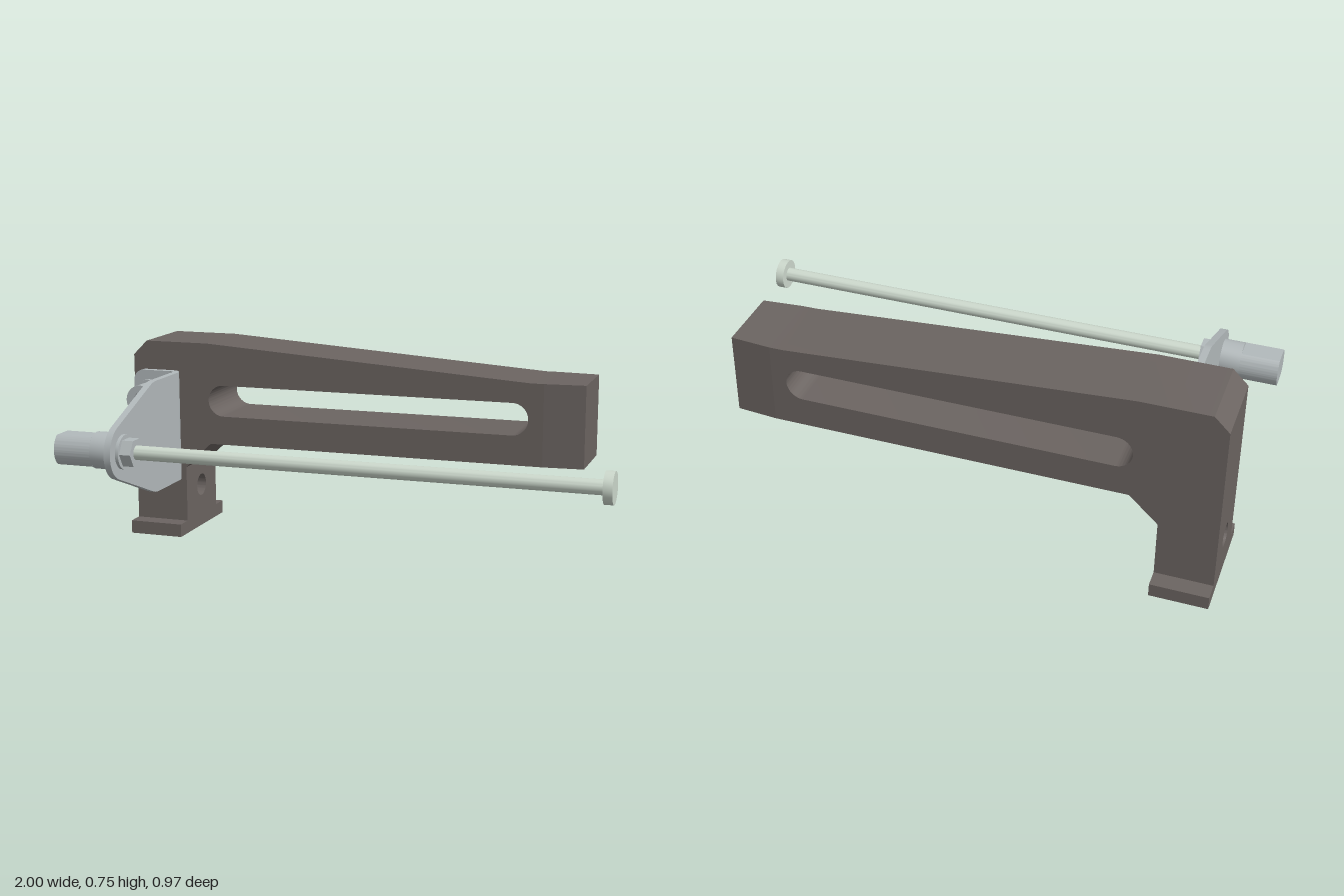
import * as THREE from 'three';
import { toCreasedNormals } from 'three/addons/utils/BufferGeometryUtils.js';

const paint = (color) => new THREE.MeshStandardMaterial({ color });

const polygon = (points) => new THREE.Shape(points.map(([x, y]) => new THREE.Vector2(x, y)));

const extrude = (shape, depth, curveSegments = 24) =>
  new THREE.ExtrudeGeometry(shape, { depth, bevelEnabled: false, curveSegments });

// Shape drawn in (-z, y), swept along x from x0 to x1
const alongX = (shape, x0, x1, segments) =>
  extrude(shape, x1 - x0, segments).rotateY(Math.PI / 2).translate(x0, 0, 0);

// Shape drawn in (x, y), swept along z from z0 to z1
const alongZ = (shape, z0, z1, segments) => extrude(shape, z1 - z0, segments).translate(0, 0, z0);

function hexagon(cx, cy, r, turn = 0) {
  return Array.from({ length: 6 }, (_, i) => {
    const a = turn + (i * Math.PI) / 3;
    return [cx + r * Math.cos(a), cy + r * Math.sin(a)];
  });
}

export function createModel() {
  const model = new THREE.Group();
  const dark = paint(0x6b6461);
  const steel = paint(0xb2b9bb);
  const pale = paint(0xccd8cc);

  function add(name, geometry, material, parent = model) {
    const mesh = new THREE.Mesh(toCreasedNormals(geometry, 0.5), material);
    mesh.name = name;
    parent.add(mesh);
    return mesh;
  }

  // Arm with long slot
  const arm = new THREE.Group();
  arm.name = 'arm';
  model.add(arm);
  const zBack = -0.42, zFront = -0.14, zMid = -0.28;
  const profile = polygon([
    [-0.965, 0.265], [-0.755, 0.265], [-0.65, 0.365], [0.65, 0.365], [0.65, 0.67],
    [0.6, 0.67], [-0.66, 0.755], [-0.91, 0.755], [-0.965, 0.7],
  ]);
  const slot = new THREE.Path();
  slot.absarc(-0.595, 0.535, 0.06, Math.PI / 2, Math.PI * 1.5, false);
  slot.absarc(0.535, 0.535, 0.06, -Math.PI / 2, Math.PI / 2, false);
  slot.closePath();
  profile.holes.push(slot);
  add('armBody', alongZ(profile, zBack, zFront), dark, arm);

  // Arm tip, narrowing slightly towards its end
  const tip = new THREE.BoxGeometry(0.15, 0.305, zFront - zBack);
  const p = tip.attributes.position;
  for (let i = 0; i < p.count; i++) if (p.getX(i) > 0) p.setZ(i, p.getZ(i) * 0.91);
  tip.translate(0.725, 0.5175, zMid);
  add('armTip', tip, dark, arm);

  // Column and flanged foot with a cross hole
  const column = polygon([
    [0.075, 0], [0.485, 0], [0.485, 0.05], [0.42, 0.05],
    [0.42, 0.265], [0.14, 0.265], [0.14, 0.05], [0.075, 0.05],
  ]);
  column.holes.push(new THREE.Path().absarc(-zMid, 0.165, 0.043, 0, Math.PI * 2, true));
  add('columnAndFoot', alongX(column, -0.965, -0.755), dark, arm);

  // Bent sheet bracket: flange, bend and side plate
  const bracket = new THREE.Group();
  bracket.name = 'bracket';
  model.add(bracket);
  const t = 0.025, bendR = 0.045, xOut = -0.76, yLow = 0.225, yHigh = 0.645;
  const xBend = xOut - bendR, zBend = zFront + bendR;

  const flange = new THREE.Shape();
  flange.moveTo(xBend, yLow);
  flange.lineTo(xBend, yHigh);
  flange.absarc(-0.915, yHigh - 0.04, 0.04, Math.PI / 2, Math.PI, false);
  flange.absarc(-0.915, yLow + 0.04, 0.04, Math.PI, Math.PI * 1.5, false);
  flange.closePath();
  add('bracketFlange', alongZ(flange, zFront, zFront + t, 8), steel, bracket);

  const bend = new THREE.Shape();
  bend.absarc(xBend, -zBend, bendR, 0, Math.PI / 2, false);
  bend.absarc(xBend, -zBend, bendR - t, Math.PI / 2, 0, true);
  bend.closePath();
  add('bracketBend', extrude(bend, yHigh - yLow, 10).rotateX(-Math.PI / 2).translate(0, yLow, 0), steel, bracket);

  const yRod = 0.435, zRod = 0.385;
  const plate = new THREE.Shape();
  plate.moveTo(-zBend, yLow);
  plate.lineTo(-zBend, yHigh);
  plate.lineTo(-0.1, yHigh);
  plate.quadraticCurveTo(-0.125, yHigh, -0.15, 0.635);
  plate.absarc(-zRod, yRod, 0.101, 1.94, Math.PI * 2 - 1.94, false);
  plate.lineTo(-0.15, yLow + 0.01);
  plate.quadraticCurveTo(-0.125, yLow, -0.1, yLow);
  plate.closePath();
  add('bracketPlate', alongX(plate, xOut - t, xOut, 8), steel, bracket);

  // Two socket-head bolts with washers
  for (const y of [0.335, 0.54]) {
    const bolt = new THREE.Group();
    bolt.name = 'bolt';
    bolt.position.set(-0.89, y, 0);
    model.add(bolt);
    const disc = (r, z0, z1) =>
      new THREE.CylinderGeometry(r, r, z1 - z0, 32).rotateX(Math.PI / 2).translate(0, 0, (z0 + z1) / 2);
    add('boltWasher', disc(0.069, -0.115, -0.1), steel, bolt);
    const head = new THREE.Shape().absarc(0, 0, 0.058, 0, Math.PI * 2, false);
    head.holes.push(polygon(hexagon(0, 0, 0.033)));
    add('boltHead', alongZ(head, -0.1, -0.03), steel, bolt);
    add('socketFloor', disc(0.045, -0.1, -0.065), steel, bolt);
  }

  // Cylinder on the rod axis, from x0 to x1
  const round = (r, x0, x1) =>
    new THREE.CylinderGeometry(r, r, x1 - x0, 32).rotateZ(Math.PI / 2).translate((x0 + x1) / 2, yRod, zRod);

  // Handle end with two flats, behind the plate
  const r = 0.067, a = Math.asin(0.054 / r);
  const flats = new THREE.Shape();
  flats.absarc(-zRod, yRod, r, -a, a, false);
  flats.absarc(-zRod, yRod, r, Math.PI - a, Math.PI + a, false);
  flats.closePath();
  add('flattenedEnd', alongX(flats, -1, -0.86), steel);
  add('collar', round(r, -0.86, xOut - t), steel);

  // Washer, hex nut, rod and end disc
  add('rodWasher', round(0.063, xOut, -0.748), steel);
  add('hexNut', alongX(polygon(hexagon(-zRod, yRod, 0.054)), -0.748, -0.706), steel);
  add('rod', round(0.026, -0.72, 0.97), pale);
  add('rodEndDisc', round(0.056, 0.968, 1), pale);

  return model;
}
